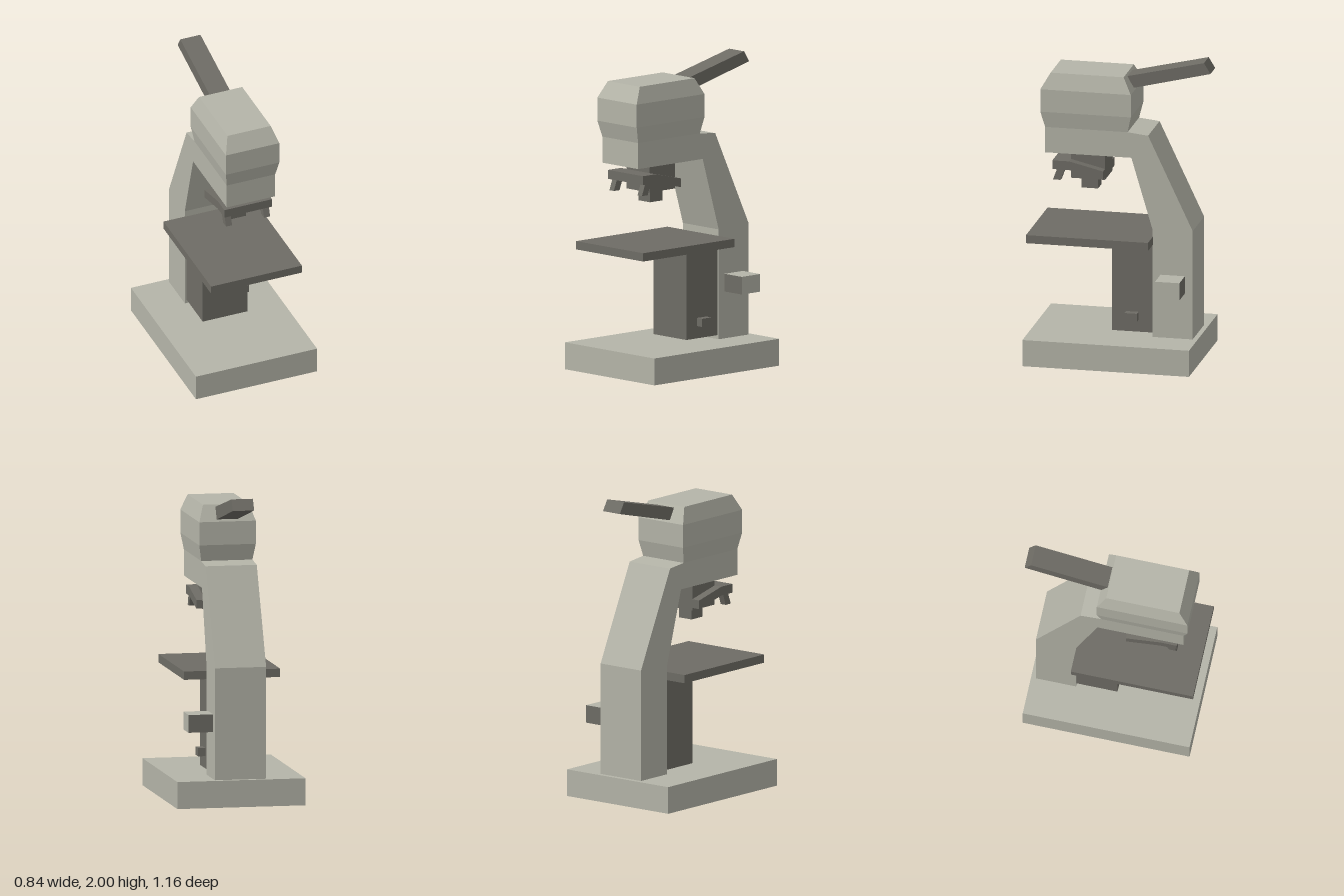
import * as THREE from 'three';

export function createModel() {
  const light = new THREE.MeshStandardMaterial({ color: 0xb4b4a8 });
  light.name = 'pale grey body';
  const dark = new THREE.MeshStandardMaterial({ color: 0x6e6c65 });
  dark.name = 'dark grey fittings';

  const model = new THREE.Group();
  model.name = 'microscope';

  function add(name, geometry, material) {
    const mesh = new THREE.Mesh(geometry, material);
    mesh.name = name;
    model.add(mesh);
    return mesh;
  }

  // Box given by its limits along each axis
  function box(x0, x1, y0, y1, z0, z1) {
    return new THREE.BoxGeometry(x1 - x0, y1 - y0, z1 - z0)
      .translate((x0 + x1) / 2, (y0 + y1) / 2, (z0 + z1) / 2);
  }

  // Side profile of [z, y] points, extruded from x0 to x1
  function profile(points, x0, x1) {
    const shape = new THREE.Shape(points.map(([z, y]) => new THREE.Vector2(z, y)));
    return new THREE.ExtrudeGeometry(shape, { depth: x1 - x0, bevelEnabled: false })
      .rotateY(-Math.PI / 2).translate(x1, 0, 0);
  }

  // Flat-faced loft through rectangles [y, half width, back z, front z]
  function loft(sections) {
    const rings = sections.map(([y, w, back, front]) =>
      [[-w, y, front], [w, y, front], [w, y, back], [-w, y, back]]);
    const out = [];
    const quad = (a, b, c, d) => out.push(...a, ...b, ...c, ...a, ...c, ...d);
    for (let r = 0; r < rings.length - 1; r++) {
      for (let i = 0; i < 4; i++) {
        const j = (i + 1) % 4;
        quad(rings[r][i], rings[r][j], rings[r + 1][j], rings[r + 1][i]);
      }
    }
    quad(...rings[rings.length - 1]);
    quad(...[...rings[0]].reverse());
    const geometry = new THREE.BufferGeometry();
    geometry.setAttribute('position', new THREE.Float32BufferAttribute(out, 3));
    geometry.computeVertexNormals();
    return geometry;
  }

  // Base and bent arm
  add('base', box(-0.42, 0.42, 0, 0.175, -0.515, 0.58), light);
  add('arm', profile([
    [-0.22, 0.175], [-0.22, 0.89], [-0.08, 1.365], [0.487, 1.365], [0.487, 1.535],
    [-0.05, 1.535], [-0.19, 1.52], [-0.483, 0.9], [-0.483, 0.175],
  ], -0.168, 0.168), light);

  // Bevelled head and slanted eyepiece
  add('head', loft([
    [1.535, 0.168, -0.055, 0.487],
    [1.64, 0.185, -0.08, 0.515],
    [1.79, 0.185, -0.08, 0.515],
    [1.895, 0.15, -0.025, 0.455],
  ]), light);
  add('eyepiece', profile([
    [-0.03, 1.88], [-0.535, 2], [-0.578, 1.93], [-0.075, 1.805],
  ], -0.07, 0.07), dark);

  // Stage, with half of its underside in the body colour
  const stage = box(-0.315, 0.315, 0.793, 0.847, -0.222, 0.58);
  stage.clearGroups();
  stage.addGroup(0, 18, 0);
  stage.addGroup(18, 3, 1);
  stage.addGroup(21, 15, 0);
  add('stage', stage, [dark, light]);

  // Pillar under the stage
  add('pillar', box(-0.155, 0.155, 0.2, 0.793, -0.222, 0.05), dark);
  add('lampSwitch', box(0.15, 0.203, 0.28, 0.333, -0.125, -0.042), dark);

  // Focus knob: pale top and end, dark elsewhere
  add('focusKnob', box(0.16, 0.33, 0.48, 0.595, -0.432, -0.272),
    [light, dark, light, dark, dark, dark]);

  // Nosepiece and lenses
  add('turret', box(-0.107, 0.107, 1.187, 1.365, 0.107, 0.33), dark);
  add('lensCarrier', profile([
    [0.44, 1.313], [0.33, 1.313], [0.107, 1.26],
    [0.107, 1.203], [0.33, 1.255], [0.44, 1.255],
  ], -0.165, 0.165), dark);
  add('mainLens', box(-0.053, 0.053, 1.11, 1.19, 0.165, 0.275), dark);
  for (const side of [-1, 1]) {
    const centre = side * 0.132;
    add(side > 0 ? 'leftLens' : 'rightLens', profile([
      [0.365, 1.26], [0.415, 1.26], [0.437, 1.182], [0.387, 1.182],
    ].map(([z, y]) => [y > 1.2 ? z - 0.005 : z + (z > 0.41 ? -0.05 + 0.052 : 0.052 - 0.05), y]),
    centre - 0.021, centre + 0.021), dark);
  }

  return model;
}
